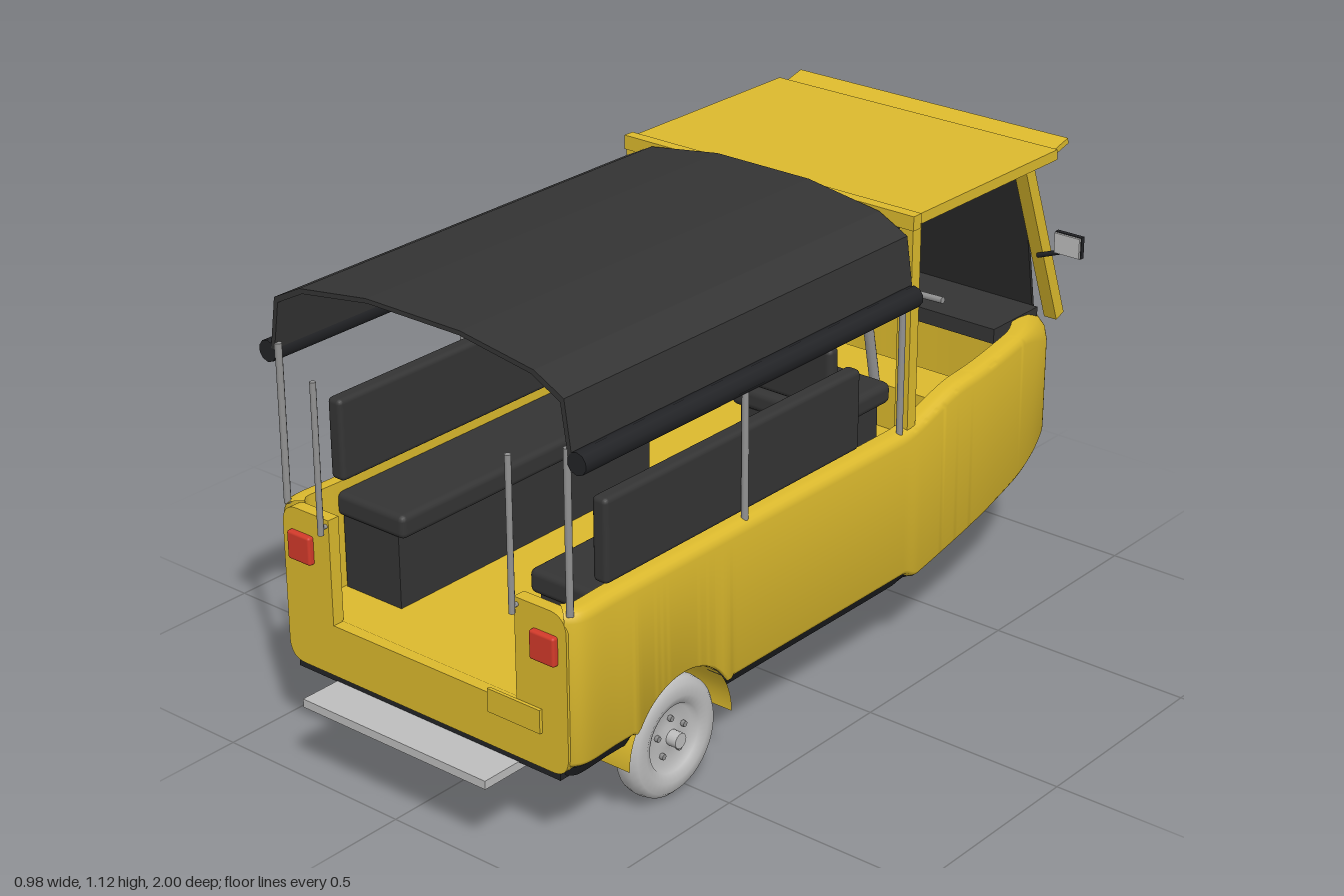
import * as THREE from 'three';
import { toCreasedNormals } from 'three/addons/utils/BufferGeometryUtils.js';
import { RoundedBoxGeometry } from 'three/addons/geometries/RoundedBoxGeometry.js';

const material = (name, color, side = THREE.FrontSide) => {
  const m = new THREE.MeshStandardMaterial({ color, side });
  m.name = name;
  return m;
};

export function createModel() {
  const yellow = material('yellow paint', 0xdbb92d, THREE.DoubleSide);
  const dark = material('dark vinyl', 0x343434);
  const black = material('black rubber', 0x222326, THREE.DoubleSide);
  const screen = material('dark windscreen', 0x303030, THREE.DoubleSide);
  const light = material('light grey', 0xbdbdbd);
  const steel = material('steel', 0x929292);
  const red = material('red lamp', 0xd23a2a);

  const model = new THREE.Group();
  const add = (name, geo, mat, x = 0, y = 0, z = 0, parent = model) => {
    const mesh = new THREE.Mesh(geo, mat);
    mesh.name = name;
    mesh.position.set(x, y, z);
    parent.add(mesh);
    return mesh;
  };
  // Box given by its limits; a radius rounds its edges
  const box = (name, mat, x0, x1, y0, y1, z0, z1, r = 0) => {
    const s = [x1 - x0, y1 - y0, z1 - z0];
    const geo = r ? new RoundedBoxGeometry(...s, 2, r) : new THREE.BoxGeometry(...s);
    return add(name, geo, mat, (x0 + x1) / 2, (y0 + y1) / 2, (z0 + z1) / 2);
  };
  // Straight member between two points: round rod, or box section when a depth is given
  const bar = (name, mat, a, b, w, d = 0) => {
    const p = new THREE.Vector3(...a), q = new THREE.Vector3(...b);
    const dir = q.clone().sub(p), len = dir.length();
    const geo = d ? new THREE.BoxGeometry(w, len, d) : new THREE.CylinderGeometry(w, w, len, 10);
    const m = add(name, geo, mat, ...p.add(q).multiplyScalar(0.5).toArray());
    m.quaternion.setFromUnitVectors(new THREE.Vector3(0, 1, 0), dir.normalize());
    return m;
  };
  const bothSides = f => [1, -1].forEach(f);

  // ---- Body shell: a plan outline swept with a profile that changes along z
  const half = [[0.4, 0.9], [0.42, 0.87], [0.42, 0.75], [0.42, 0.3], [0.42, -0.35], [0.407, -0.6],
    [0.372, -0.82], [0.335, -0.9], [0.265, -0.947], [0.12, -0.963]];
  const plan = [...half, [0, -0.966], ...half.slice().reverse().map(([x, z]) => [-x, z])];
  const curve = new THREE.CatmullRomCurve3(plan.map(([x, z]) => new THREE.Vector3(x, 0, z)));
  curve.arcLengthDivisions = 2000;
  const N = 440;
  const path = curve.getSpacedPoints(N);
  const inward = path.map((p, i) => {
    const t = path[Math.min(i + 1, N)].clone().sub(path[Math.max(i - 1, 0)]).normalize();
    return new THREE.Vector3(t.z, 0, -t.x);
  });
  const WZ = 0.55, WY = 0.145, ARCH = 0.168;
  const inArch = z => Math.abs(z - WZ) < ARCH * 0.94;
  const base = z => 0.2 + 0.17 * Math.max(0, -z - 0.22);
  const sill = z => inArch(z)
    ? Math.max(0.23, WY + Math.sqrt(ARCH ** 2 - (z - WZ) ** 2))
    : base(z) + 0.03 * THREE.MathUtils.smoothstep(z, -0.28, -0.22);
  const rim = z => 0.59 + 0.05 * THREE.MathUtils.smoothstep(-z, 0.2, 0.46)
    + 0.02 * THREE.MathUtils.smoothstep(-z, 0.4, 0.85);

  const mesh = (rows) => {
    const n = rows[0].length, index = [];
    for (let i = 0; i < rows.length - 1; i++) for (let j = 0; j < n - 1; j++) {
      const a = i * n + j, b = a + n;
      index.push(a, b, a + 1, b, b + 1, a + 1);
    }
    const geo = new THREE.BufferGeometry();
    geo.setAttribute('position', new THREE.Float32BufferAttribute(rows.flat(2), 3));
    geo.setIndex(index);
    return toCreasedNormals(geo, 0.7);
  };
  const at = (i, inset, y) => {
    const p = path[i].clone().addScaledVector(inward[i], inset);
    return [p.x, y, p.z];
  };
  const sweep = profile => mesh(path.map((p, i) => profile(p.z).map(([d, y]) => at(i, d, y))));
  const deck = (inset, yAt, zMin) => mesh(path.slice(0, N / 2).filter(p => p.z > zMin)
    .map((p, i) => [at(i, inset(p.z), yAt(p.z)), at(N - i, inset(p.z), yAt(p.z))]));

  add('bodyShell', sweep(z => {
    const n = THREE.MathUtils.smoothstep(-z, 0.7, 0.94);
    const r = 0.025 + 0.065 * n, rb = inArch(z) ? 0.006 : 0.015 + 0.03 * n;
    const b = sill(z), t = rim(z), pts = [[rb, b], [rb * 0.3, b + rb * 0.4], [0, b + rb]];
    for (let k = 0; k <= 4; k++) {
      const a = k * Math.PI / 8;
      pts.push([r * (1 - Math.cos(a)), t - r + r * Math.sin(a)]);
    }
    return [...pts, [r + 0.02, t], [r + 0.02, 0.335]];
  }), yellow);
  add('blackSill', sweep(z => {
    const b = sill(z), h = inArch(z) ? b : base(z);
    return [[0.05, h], [0.03, h], [0.012, b]];
  }), black);
  add('underside', deck(z => (inArch(z) ? 0.14 : 0.03), base, -1), black);
  add('floor', deck(() => 0.04, () => 0.337, -0.9), yellow);

  // Rear wall with the boarding opening
  const wall = new THREE.Shape();
  wall.moveTo(-0.36, 0.212);
  wall.lineTo(0.36, 0.212);
  wall.quadraticCurveTo(0.405, 0.212, 0.405, 0.26);
  wall.lineTo(0.405, 0.545);
  wall.quadraticCurveTo(0.4, 0.585, 0.36, 0.585);
  [[0.265, 0.585], [0.265, 0.335], [-0.265, 0.335], [-0.265, 0.585], [-0.36, 0.585]].forEach(p => wall.lineTo(...p));
  wall.quadraticCurveTo(-0.4, 0.585, -0.405, 0.545);
  wall.lineTo(-0.405, 0.26);
  wall.quadraticCurveTo(-0.405, 0.212, -0.36, 0.212);
  add('rearWall', new THREE.ExtrudeGeometry(wall, { depth: 0.03, bevelEnabled: false }), yellow, 0, 0, 0.87);
  box('rearSill', black, -0.38, 0.38, 0.198, 0.216, 0.86, 0.898);
  box('rearPlate', yellow, 0.19, 0.335, 0.295, 0.35, 0.9, 0.908);
  box('frontPlate', yellow, -0.09, 0.09, 0.42, 0.48, -0.975, -0.967);
  box('frontBumper', black, -0.255, 0.255, 0.333, 0.37, -1, -0.94, 0.012);
  box('rearStep', light, -0.265, 0.265, 0.18, 0.2, 0.87, 1);
  box('underBox', dark, -0.232, 0.232, 0.067, 0.2, 0.365, 0.71);
  box('batteryBox', black, -0.06, 0.06, 0.235, 0.3, -0.53, -0.45);

  // ---- Wheels
  const side = [[0.02, 0.018], [0.03, 0.012], [0.072, 0.012], [0.08, 0.026], [0.1, 0.035], [0.125, 0.031], [0.137, 0.019]];
  const section = [[0, -0.018], ...side.map(([r, y]) => [r, -y]), [0.14, 0], ...side.slice().reverse(), [0, 0.018]]
    .map(p => new THREE.Vector2(...p));
  const wheel = (name, x, z) => {
    const g = new THREE.Group();
    g.name = name;
    g.position.set(x, WY, z);
    g.rotation.z = Math.PI / 2;
    model.add(g);
    add('tyre', new THREE.LatheGeometry(section, 40), light, 0, 0, 0, g);
    add('hub', new THREE.CylinderGeometry(0.018, 0.018, 0.088, 14), light, 0, 0, 0, g);
    for (let k = 0; k < 5; k++) {
      const a = k * Math.PI * 0.4;
      add('wheelBolt', new THREE.CylinderGeometry(0.007, 0.007, 0.042, 6), steel, 0.045 * Math.cos(a), 0, 0.045 * Math.sin(a), g);
    }
  };
  wheel('frontWheel', 0, -0.73);
  bothSides(s => {
    wheel('rearWheel', s * 0.364, WZ);
    const well = add('wheelWell', new THREE.CylinderGeometry(ARCH, ARCH, 0.13, 24, 1, true, 0, Math.PI), yellow, s * 0.345, WY, WZ);
    well.rotation.z = Math.PI / 2;
    const liner = add('wheelWellLiner', new THREE.CircleGeometry(ARCH, 24, 0, Math.PI), yellow, s * 0.28, WY, WZ);
    liner.rotation.y = Math.PI / 2;
    bar('forkLeg', steel, [s * 0.045, WY, -0.73], [s * 0.045, 0.29, -0.7], 0.01);
  });

  // ---- Steering
  bar('steeringColumn', steel, [0, 0.28, -0.702], [0, 0.735, -0.61], 0.013);
  bothSides(s => {
    bar('handlebar', steel, [0, 0.73, -0.61], [s * 0.1, 0.735, -0.605], 0.007);
    bar('handlebar', steel, [s * 0.1, 0.735, -0.605], [s * 0.24, 0.742, -0.6], 0.008);
  });
  box('dashboard', dark, -0.325, 0.325, 0.625, 0.662, -0.87, -0.69);
  box('instrumentBox', dark, -0.228, -0.152, 0.66, 0.712, -0.75, -0.71);
  box('instrumentLamp', red, -0.218, -0.155, 0.685, 0.706, -0.71, -0.704);

  // ---- Seats
  const back = box('driverBackrest', dark, -0.15, 0.15, 0.535, 0.693, -0.33, -0.293, 0.015);
  back.rotation.x = 0.03;
  box('driverCushion', dark, -0.145, 0.145, 0.475, 0.53, -0.54, -0.29, 0.018);
  box('driverSeatBase', dark, -0.118, 0.118, 0.335, 0.48, -0.52, -0.3);
  box('footwellStep', yellow, -0.3, 0.3, 0.335, 0.45, -0.8, -0.66);
  bothSides(s => {
    const m = (name, x0, x1, ...rest) => box(name, dark, Math.min(s * x0, s * x1), Math.max(s * x0, s * x1), ...rest);
    m('benchCushion', 0.18, 0.385, 0.51, 0.567, -0.08, 0.765, 0.015);
    m('benchRiser', 0.205, 0.37, 0.335, 0.515, -0.07, 0.755);
    m('benchBackrest', 0.355, 0.395, 0.595, 0.788, -0.08, 0.765, 0.012);
  });

  // ---- Cab frame, roof and windscreen
  box('cabRoof', yellow, -0.405, 0.405, 1.07, 1.095, -0.8, -0.235);
  box('roofRearEdge', yellow, -0.413, 0.413, 1.066, 1.1, -0.26, -0.232);
  const visor = box('roofVisor', yellow, -0.39, 0.39, 1.078, 1.092, -0.867, -0.785);
  visor.rotation.x = 0.25;
  const glass = new THREE.Shape([[-0.335, 1.06], [-0.335, 0.86], [-0.305, 0.645], [0.305, 0.645], [0.335, 0.86], [0.335, 1.06]]
    .map(p => new THREE.Vector2(...p)));
  const glassGeo = new THREE.ExtrudeGeometry(glass, { depth: 0.008, bevelEnabled: false });
  const gp = glassGeo.attributes.position;
  for (let i = 0; i < gp.count; i++) gp.setZ(i, gp.getZ(i) - 0.735 - (1.06 - gp.getY(i)) * 0.365);
  glassGeo.computeVertexNormals();
  add('windscreen', glassGeo, screen);
  bothSides(s => {
    bar('windscreenPillar', yellow, [s * 0.357, 1.075, -0.73], [s * 0.357, 0.645, -0.893], 0.035, 0.032);
    box('cabRearPost', yellow, s * 0.392 - 0.018, s * 0.392 + 0.018, 0.59, 1.08, -0.265, -0.235);
    // Mirrors
    bar('mirrorArm', black, [s * 0.365, 0.825, -0.8], [s * 0.45, 0.86, -0.79], 0.006);
    box('mirrorShell', black, s * 0.455 - 0.036, s * 0.455 + 0.036, 0.85, 0.903, -0.798, -0.786);
    box('mirrorGlass', light, s * 0.455 - 0.034, s * 0.455 + 0.034, 0.852, 0.901, -0.786, -0.78);
    // Tail lamps
    box('tailLamp', red, s * 0.348 - 0.034, s * 0.348 + 0.034, 0.465, 0.532, 0.895, 0.914, 0.006);
    // Canopy poles, boarding rails and rolled curtains
    for (const z of [0.885, 0.333, -0.215]) bar('canopyPole', steel, [s * 0.403, 0.58, z], [s * 0.403, 0.95, z], 0.008);
    bar('boardingRail', steel, [s * 0.273, 0.555, 0.915], [s * 0.273, 0.908, 0.915], 0.007);
    bar('railBracket', steel, [s * 0.273, 0.57, 0.89], [s * 0.273, 0.57, 0.915], 0.005);
    bar('rolledCurtain', black, [s * 0.432, 0.925, -0.215], [s * 0.432, 0.925, 0.89], 0.025);
  });

  // ---- Canopy: folded sheet extruded along the passenger bay
  const fold = [[0.42, 0.935], [0.402, 1.055], [0.325, 1.094], [0.13, 1.123]];
  const outer = [...fold, ...fold.slice().reverse().map(([x, y]) => [-x, y])];
  const inner = outer.map(([x, y]) => [x * 0.975, y - (y > 0.95 ? 0.01 : 0)]).reverse();
  const sheet = new THREE.Shape([...outer, ...inner].map(p => new THREE.Vector2(...p)));
  add('canopy', new THREE.ExtrudeGeometry(sheet, { depth: 1.115, bevelEnabled: false }), dark, 0, 0, -0.225);

  return model;
}
